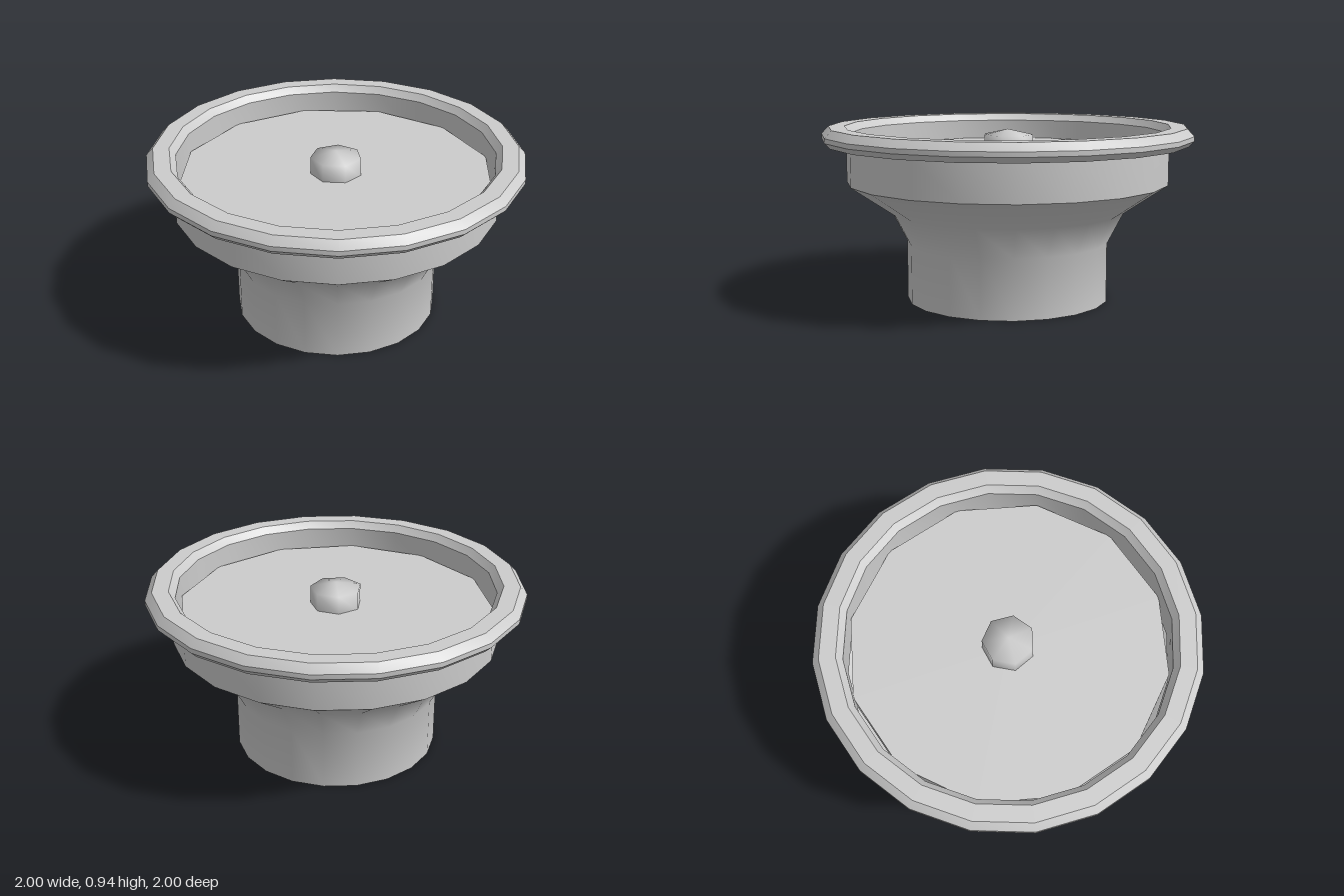
import * as THREE from 'three';
import { toCreasedNormals } from 'three/addons/utils/BufferGeometryUtils.js';

const material = new THREE.MeshStandardMaterial({ color: 0xcccccc, side: THREE.DoubleSide });

// Revolved part: profile of [radius, height] points, sharp where faces meet steeply
function revolve(name, profile, sides, crease, turn = 0) {
  const points = profile.map(([r, y]) => new THREE.Vector2(r, y));
  const geometry = toCreasedNormals(new THREE.LatheGeometry(points, sides, turn), crease);
  const mesh = new THREE.Mesh(geometry, material);
  mesh.name = name;
  return mesh;
}

export function createModel() {
  const group = new THREE.Group();
  group.name = 'drainBasin';

  // Open outlet pipe flaring into the wide bowl wall
  group.add(revolve('basinBody', [
    [0.55, 0], [0.55, 0.32], [0.635, 0.485], [0.87, 0.645], [0.87, 0.85],
  ], 20, 0.62));

  // Bevelled rim with the inner wall hanging from it
  group.add(revolve('rim', [
    [0.87, 0.85], [0.97, 0.85], [1, 0.88], [1, 0.905], [0.963, 0.945],
    [0.877, 0.945], [0.845, 0.907], [0.845, 0.7],
  ], 20, 0.62));

  // Thick cover plate resting inside the rim
  group.add(revolve('coverPlate', [
    [0, 0.7], [0.84, 0.7], [0.84, 0.8], [0, 0.8],
  ], 12, 0.5));

  // Seven-sided knob with a shallow domed top, softly shaded
  group.add(revolve('knob', [
    [0.137, 0.79], [0.137, 0.895], [0, 0.925],
  ], 7, 1.5, Math.PI / 2));

  return group;
}
